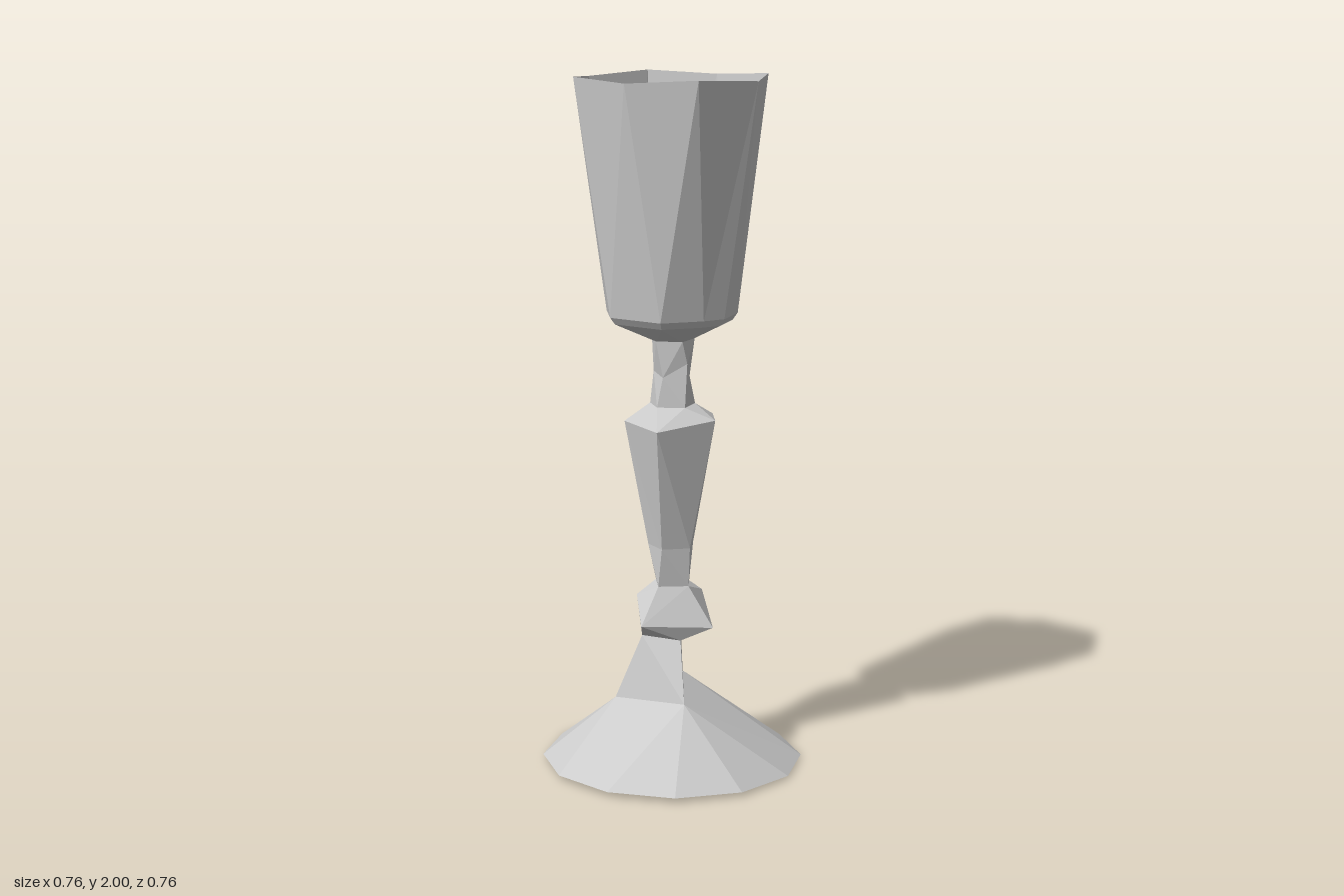
import * as THREE from 'three';

const TAU = Math.PI * 2;
const material = new THREE.MeshStandardMaterial({ color: 0xcccccc, flatShading: true, side: THREE.DoubleSide });

const angle = (p) => (Math.atan2(p[2], p[0]) + TAU) % TAU;
const wrap = (a) => a - TAU * Math.round(a / TAU);

// Regular ring of n corners, with an optional tilt along z.
function ring(y, r, n, phase = 0, tilt = 0) {
  return Array.from({ length: n }, (_, i) => {
    const a = phase + (i / n) * TAU;
    const z = r * Math.sin(a);
    return [r * Math.cos(a), y + tilt * z, z];
  });
}

// Stitch two rings that may have different corner counts, matching corners by angle.
function stitch(lower, upper, out) {
  const A = [...lower].sort((p, q) => angle(p) - angle(q));
  let B = [...upper].sort((p, q) => angle(p) - angle(q));
  const a0 = angle(A[0]);
  let start = 0;
  B.forEach((p, k) => {
    if (Math.abs(wrap(angle(p) - a0)) < Math.abs(wrap(angle(B[start]) - a0))) start = k;
  });
  B = [...B.slice(start), ...B.slice(0, start)];
  const unroll = (R, first) => {
    const t = [first];
    for (let k = 1; k <= R.length; k++) {
      t.push(t[k - 1] + ((angle(R[k % R.length]) - angle(R[k - 1]) + TAU) % TAU));
    }
    return t;
  };
  const ta = unroll(A, a0);
  const tb = unroll(B, a0 + wrap(angle(B[0]) - a0));
  let i = 0, j = 0;
  while (i < A.length || j < B.length) {
    const a = A[i % A.length], b = B[j % B.length];
    if (j >= B.length || (i < A.length && ta[i] + ta[i + 1] < tb[j] + tb[j + 1])) {
      out.push(...a, ...b, ...A[++i % A.length]);
    } else {
      out.push(...a, ...b, ...B[++j % B.length]);
    }
  }
}

function makeMesh(name, positions) {
  const g = new THREE.BufferGeometry();
  g.setAttribute('position', new THREE.Float32BufferAttribute(positions, 3));
  g.computeVertexNormals();
  const m = new THREE.Mesh(g, material);
  m.name = name;
  return m;
}

function loft(name, rings) {
  const out = [];
  for (let k = 0; k + 1 < rings.length; k++) stitch(rings[k], rings[k + 1], out);
  return makeMesh(name, out);
}

// Fan from a centre point to a ring, facing up or down.
function fan(name, points, centre, up) {
  const out = [];
  const P = [...points].sort((p, q) => angle(p) - angle(q));
  P.forEach((p, i) => {
    const q = P[(i + 1) % P.length];
    out.push(...centre, ...(up ? q : p), ...(up ? p : q));
  });
  return makeMesh(name, out);
}

export function createModel() {
  const group = new THREE.Group();
  group.name = 'goblet';

  // Spreading foot with twelve corners, gathered to a three-sided pedestal
  const footRim = ring(0.008, 0.381, 12, 0, 0.02);
  const shoulder = [[0.10, 0.21, 0.11], [-0.14, 0.19, 0.09], [-0.04, 0.23, -0.125]];
  const ankle = [[0.055, 0.38, 0.05], [-0.07, 0.38, 0.055], [-0.01, 0.39, -0.07]];
  group.add(loft('foot', [footRim, shoulder, ankle]));
  group.add(fan('footUnderside', footRim, [0, 0.008, 0], false));

  // Faceted lower knob
  const knob = [
    [0.14, 0.42, 0.01], [-0.03, 0.43, 0.13], [-0.09, 0.50, 0.05],
    [-0.06, 0.42, -0.08], [0.02, 0.42, -0.11], [0.05, 0.50, -0.09],
  ];
  const knobTop = ring(0.535, 0.062, 4, 0.2);
  group.add(loft('knob', [ankle, knob, knobTop]));

  // Tapering baluster
  const waist = ring(0.65, 0.07, 5, 0.25);
  const flare = [
    [0.14, 1.03, 0], [0.03, 1.01, 0.145], [-0.135, 1.01, 0.04],
    [-0.07, 1.02, -0.13], [0.06, 1.02, -0.135],
  ];
  const flareTop = ring(1.065, 0.068, 5, 0.5);
  group.add(loft('baluster', [knobTop, waist, flare, flareTop]));

  // Crumpled neck below the bowl
  const neckMiddle = [
    [0.06, 1.19, 0.02], [0.0, 1.15, 0.055], [-0.055, 1.16, 0.01], [0.01, 1.13, -0.085],
  ];
  const neckTop = ring(1.255, 0.065, 5, 0.6);
  group.add(loft('neck', [flareTop, neckMiddle, neckTop]));

  // Eight-sided bowl with a slightly uneven base
  const base = [
    [0.17, 0.03], [0.14, 0.09], [0.06, 0.18], [-0.1, 0.16], [-0.175, 0.045],
    [-0.15, -0.06], [-0.125, -0.15], [0.05, -0.19], [0.15, -0.09],
  ];
  const bowlBase = base.map(([x, z]) => [x * 1.08, 1.33, z * 1.03]);
  const bowlUnder = base.map(([x, z]) => [x, 1.31, z * 0.95]);
  const rim = Array.from({ length: 8 }, (_, i) => {
    const a = (i / 8) * TAU;
    const r = i % 2 ? 0.287 : 0.27;
    return [r * Math.cos(a) * (i % 2 ? 0.965 : 1), i % 2 ? 2 : 1.99, r * Math.sin(a) * (i % 2 ? 1.03 : 1)];
  });
  group.add(loft('bowlUnderside', [neckTop, bowlUnder, bowlBase]));
  group.add(loft('bowl', [bowlBase, rim]));
  group.add(fan('bowlFloor', bowlBase, [-0.02, 1.315, -0.04], true));

  return group;
}
